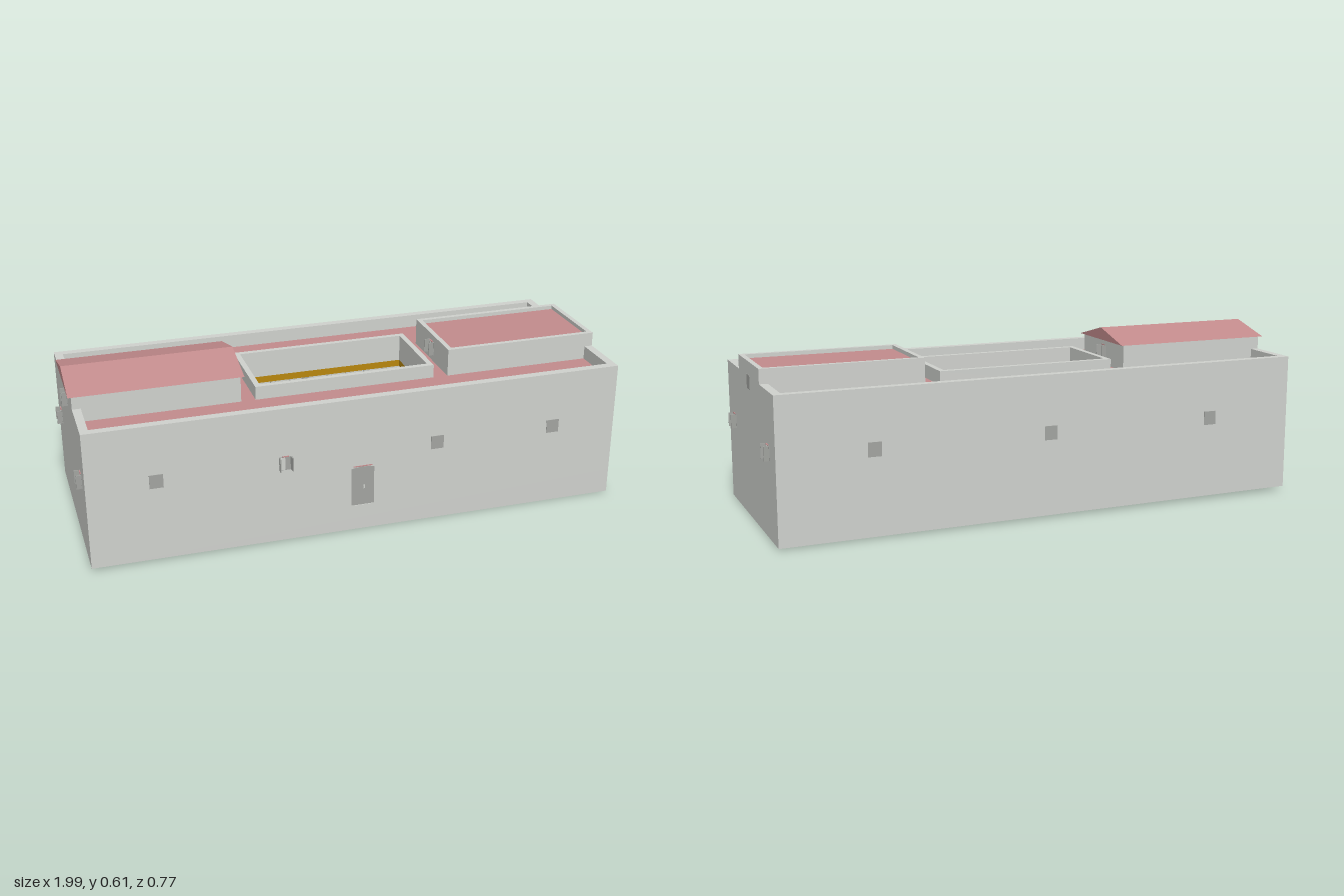
import * as THREE from 'three';

const mat = (name, color, side = THREE.FrontSide) => {
  const m = new THREE.MeshStandardMaterial({ color, side });
  m.name = name;
  return m;
};

export function createModel() {
  const wall = mat('wall grey', 0xcfd1cd, THREE.DoubleSide);
  const roof = mat('roof rose', 0xc28b8c);
  const gold = mat('gallery gold', 0xb8860b);
  const glass = mat('window grey', 0xa2a4a0);

  const model = new THREE.Group();
  model.name = 'courtyardHouse';
  const house = new THREE.Group();
  house.name = 'house';
  house.position.set(-0.005, 0, -0.0075);
  house.rotation.y = -0.0105;
  model.add(house);

  const add = (name, geo, m, parent = house) => {
    const mesh = new THREE.Mesh(geo, m);
    mesh.name = name;
    parent.add(mesh);
    return mesh;
  };
  const box = (name, x, y, z, w, h, d, m, parent) => {
    const mesh = add(name, new THREE.BoxGeometry(w, h, d), m, parent);
    mesh.position.set(x, y, z);
    return mesh;
  };
  // Rectangular slab [x0, x1, z0, z1] from y0 to y1, with an optional rectangular opening
  const rect = (S, [x0, x1, z0, z1]) =>
    new S([[x0, -z1], [x1, -z1], [x1, -z0], [x0, -z0]].map((p) => new THREE.Vector2(...p)));
  const slab = (name, outer, hole, y0, y1, m) => {
    const shape = rect(THREE.Shape, outer);
    if (hole) shape.holes.push(rect(THREE.Path, hole));
    const geo = new THREE.ExtrudeGeometry(shape, { depth: y1 - y0, bevelEnabled: false });
    geo.rotateX(-Math.PI / 2).translate(0, y0, 0);
    return add(name, geo, m);
  };

  const HX = 0.973, HZ = 0.371, T = 0.03;
  const yard = [-0.315, 0.315, -0.145, 0.145];
  const inside = [-HX + T, HX - T, -HZ + T, HZ - T];

  // Outer walls with parapet, and a thin skirt that follows the sloping ground
  slab('outerWalls', [-HX, HX, -HZ, HZ], inside, 0.095, 0.515, wall);
  const skirt = new THREE.BoxGeometry(HX * 2, 0.095, HZ * 2).translate(0, 0.0475, 0);
  const sp = skirt.attributes.position;
  for (let i = 0; i < sp.count; i++) {
    if (sp.getY(i) < 0.01) {
      const base = sp.getX(i) < 0 ? 0.012 : 0.002;
      sp.setY(i, base + (sp.getZ(i) < 0 ? 0.003 : -0.002));
    }
  }
  const idx = Array.from(skirt.index.array);
  skirt.setIndex([...idx.slice(0, 12), ...idx.slice(24)]);
  skirt.clearGroups();
  add('foundationSkirt', skirt, wall);

  // Flat roof around the courtyard
  slab('roofSlab', inside, yard, 0.43, 0.46, wall);
  slab('roofSurface', inside, [-0.33, 0.33, -0.16, 0.16], 0.46, 0.466, roof);
  slab('courtyardParapet', [-0.335, 0.335, -0.165, 0.165], yard, 0.415, 0.515, wall);

  // Flat-roofed tower
  slab('flatTowerWalls', [0.39, HX, -0.165, 0.165], [0.408, HX - 0.018, -0.147, 0.147], 0.46, 0.567, wall);
  slab('flatTowerRoof', [0.408, HX - 0.018, -0.147, 0.147], null, 0.545, 0.553, roof);

  // Gabled tower
  slab('gabledTowerWalls', [-HX, -0.387, -0.165, 0.165], null, 0.46, 0.565, wall);
  const gable = new THREE.Shape([
    new THREE.Vector2(-0.176, 0.563), new THREE.Vector2(0.176, 0.563), new THREE.Vector2(0, 0.609),
  ]);
  const gableGeo = new THREE.ExtrudeGeometry(gable, { depth: 0.61, bevelEnabled: false });
  add('gabledRoof', gableGeo.rotateY(Math.PI / 2).translate(-0.985, 0, 0), roof);

  // Courtyard galleries and columns
  const ring = [-0.367, 0.367, -0.19, 0.19];
  slab('galleryFloor', ring, yard, 0.105, 0.13, gold);
  slab('galleryBeam', ring, yard, 0.39, 0.415, gold);
  const colGeo = new THREE.CylinderGeometry(0.011, 0.011, 0.26, 12);
  const column = (x, z) => add('column', colGeo, wall).position.set(x, 0.26, z);
  const CX = 0.335, CZ = 0.163;
  for (let i = 0; i < 10; i++) {
    const x = -CX + (2 * CX * i) / 9;
    column(x, CZ);
    column(x, -CZ);
  }
  for (let i = 1; i < 4; i++) {
    const z = -CZ + (2 * CZ * i) / 4;
    column(CX, z);
    column(-CX, z);
  }

  // Windows: pane through the wall, optional open casements and a rose lintel
  const windowAt = (x, y, z, turn, open) => {
    const g = new THREE.Group();
    g.name = 'window';
    g.position.set(x, y, z);
    g.rotation.y = turn;
    house.add(g);
    box('pane', 0, 0, -T / 2, 0.048, 0.05, T + 0.003, glass, g);
    if (!open) return;
    box('lintel', 0, 0.0265, 0.001, 0.024, 0.003, 0.006, roof, g);
    for (const s of [-1, 1]) {
      const leaf = box('casement', s * 0.021, 0, 0.01, 0.004, 0.05, 0.02, glass, g);
      leaf.rotation.y = s * 0.15;
    }
    box('openHalf', -0.012, 0, 0.002, 0.02, 0.046, 0.002, wall, g);
  };
  for (const x of [-0.735, 0.275, 0.725]) windowAt(x, 0.308, HZ, 0, false);
  windowAt(-0.285, 0.308, HZ, 0, true);
  for (const x of [-0.64, 0, 0.64]) windowAt(x, 0.308, -HZ, Math.PI, false);
  for (const s of [-1, 1]) {
    const out = (s * Math.PI) / 2;
    for (const z of [-0.265, 0.275]) windowAt(s * HX, 0.306, z, out, true);
    windowAt(s * HX, 0.495, 0.005, out, s < 0);
    windowAt(s * 0.389, 0.516, 0, -out, true);
  }

  // Front door with a shallow arched head, panels and sill
  const doorShape = new THREE.Shape();
  doorShape.moveTo(-0.042, 0.1).lineTo(0.042, 0.1).lineTo(0.042, 0.248);
  doorShape.quadraticCurveTo(0, 0.258, -0.042, 0.248);
  const doorGeo = new THREE.ExtrudeGeometry(doorShape, { depth: T + 0.004, bevelEnabled: false });
  add('door', doorGeo, glass).position.set(-0.004, 0, HZ - T - 0.002);
  box('doorLintel', -0.004, 0.256, HZ + 0.001, 0.07, 0.003, 0.004, roof);
  box('doorSill', -0.004, 0.1, HZ + 0.002, 0.084, 0.006, 0.006, wall);
  box('doorHandle', 0, 0.175, HZ + 0.004, 0.005, 0.012, 0.006, wall);

  return model;
}
